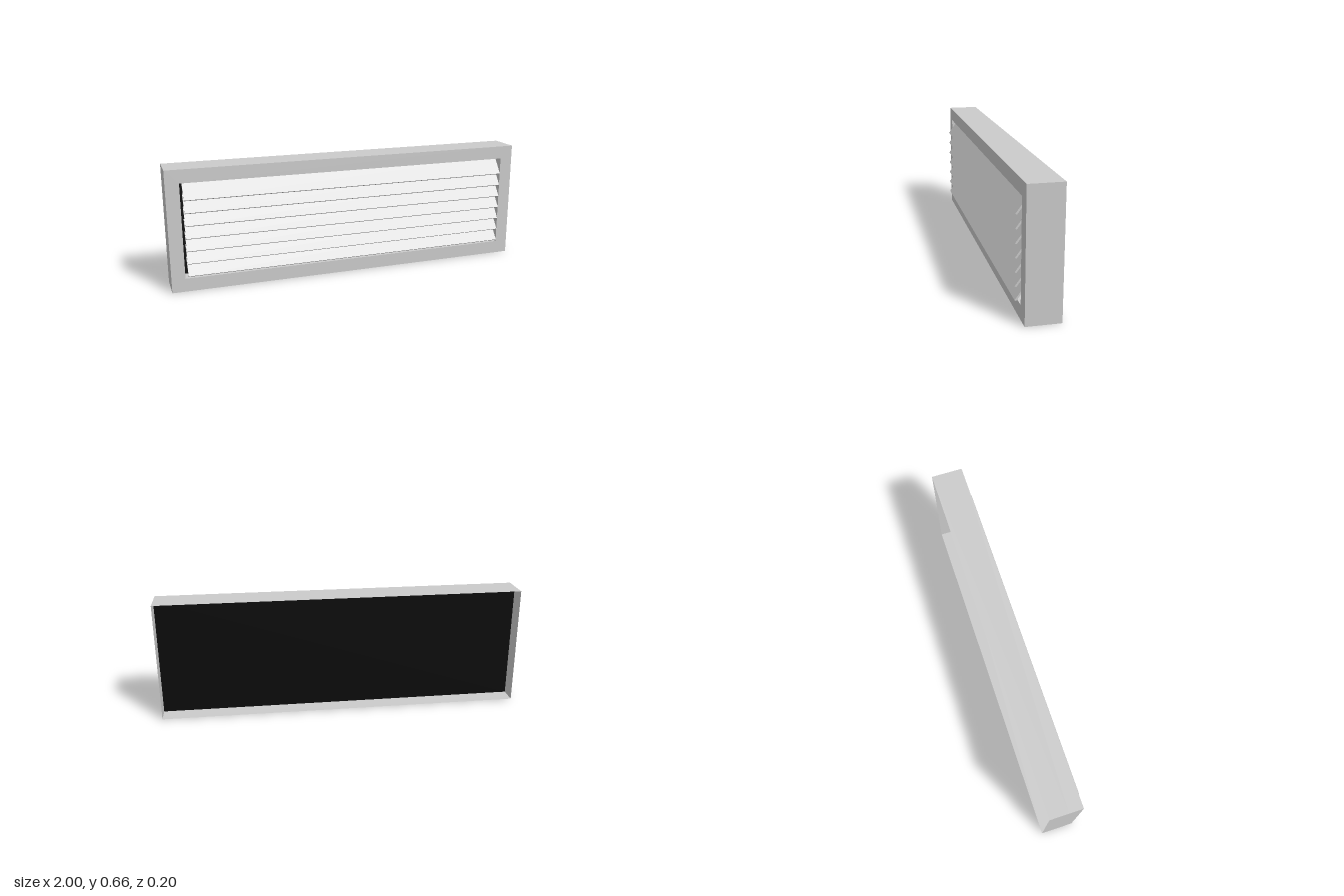
import * as THREE from 'three';

const W = 2, H = 0.656, BORDER = 0.072;
const FRONT = 0.075, BACK = -0.1, PANEL_Z = -0.002;

const grey = new THREE.MeshStandardMaterial({ color: 0xcccccc });
const greySheet = new THREE.MeshStandardMaterial({ color: 0xcccccc, side: THREE.DoubleSide });
const black = new THREE.MeshStandardMaterial({ color: 0x0a0a0a, side: THREE.DoubleSide });

function add(parent, name, geometry, material) {
  const mesh = new THREE.Mesh(geometry, material);
  mesh.name = name;
  parent.add(mesh);
  return mesh;
}

// Closed polygon path from [x, y] pairs
const outline = (Type, pts) => new Type(pts.map(([x, y]) => new THREE.Vector2(x, y)));

export function createModel() {
  const model = new THREE.Group();
  model.name = 'louvredVent';

  // Front frame with a rectangular opening
  const ox = W / 2 - BORDER, top = H - BORDER;
  const face = outline(THREE.Shape, [[-W / 2, 0], [W / 2, 0], [W / 2, H], [-W / 2, H]]);
  face.holes.push(outline(THREE.Path, [[-ox, BORDER], [-ox, top], [ox, top], [ox, BORDER]]));
  add(model, 'frontFrame', new THREE.ExtrudeGeometry(face, { depth: FRONT, bevelEnabled: false }), grey);

  // Thin sleeve, open at the back
  const sleeve = new THREE.Group();
  sleeve.name = 'rearSleeve';
  model.add(sleeve);
  const depth = -BACK;
  for (const s of [-1, 1]) {
    const side = add(sleeve, s > 0 ? 'leftWall' : 'rightWall', new THREE.PlaneGeometry(depth, H), greySheet);
    side.rotation.y = s * Math.PI / 2;
    side.position.set(s * W / 2, H / 2, BACK / 2);
    const flat = add(sleeve, s > 0 ? 'topWall' : 'bottomWall', new THREE.PlaneGeometry(W, depth), greySheet);
    flat.rotation.x = -s * Math.PI / 2;
    flat.position.set(0, s > 0 ? H : 0, BACK / 2);
  }

  // Dark panel behind the slats
  add(model, 'backPanel', new THREE.PlaneGeometry(W, H), black).position.set(0, H / 2, PANEL_Z);

  // Slats sloping down and forward
  const slats = new THREE.Group();
  slats.name = 'slats';
  model.add(slats);
  const length = 0.11, thickness = 0.009, tilt = THREE.MathUtils.degToRad(54);
  const slatGeometry = new THREE.BoxGeometry(1.826, thickness, length);
  slatGeometry.translate(0, -thickness / 2, -length / 2); // pivot on the upper front edge
  for (let i = 0; i < 7; i++) {
    const slat = add(slats, 'slat', slatGeometry, grey);
    slat.rotation.x = tilt;
    slat.position.set(0, 0.092 + i * 0.068, 0.1);
  }
  return model;
}
